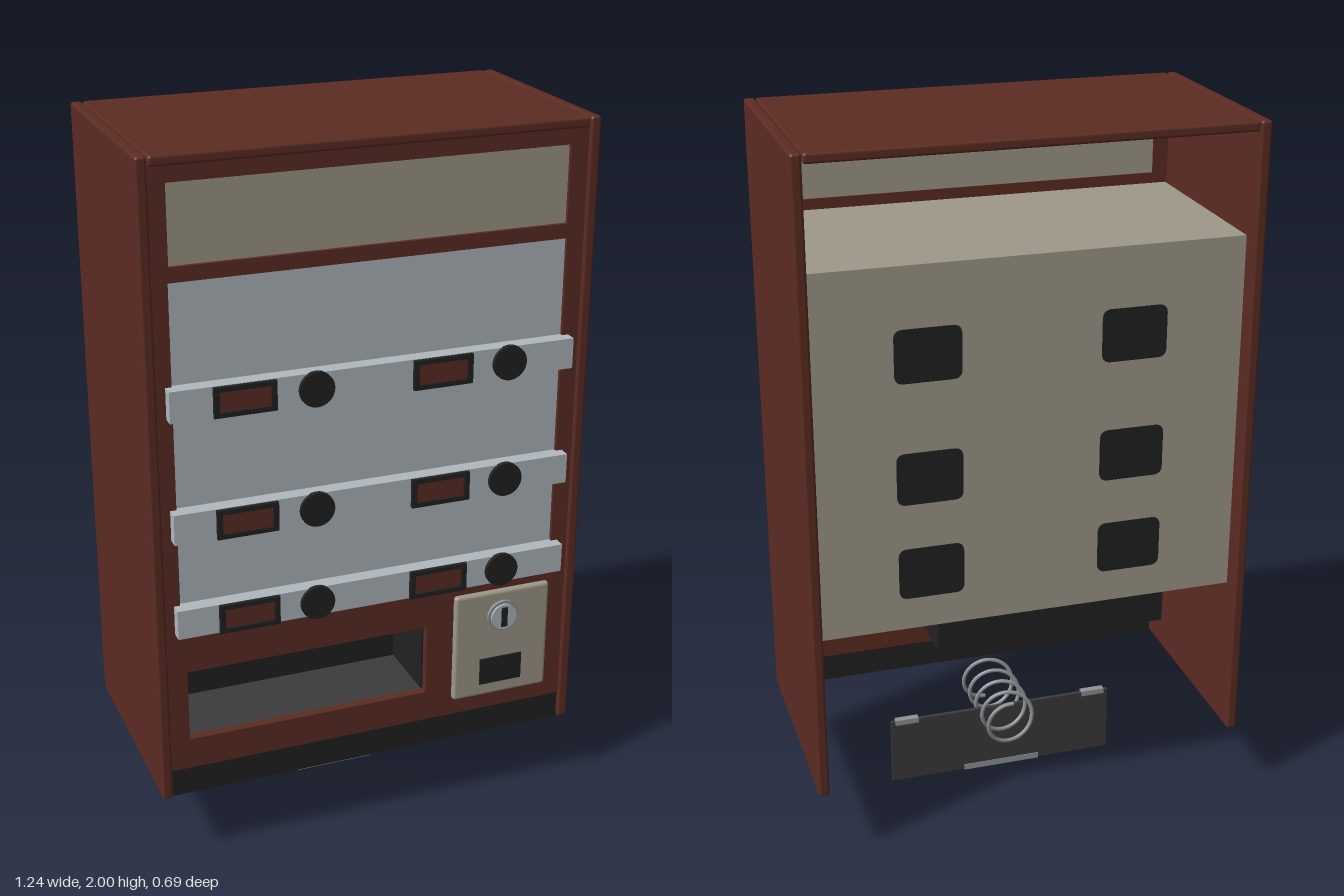
import * as THREE from 'three';
import { RoundedBoxGeometry } from 'three/addons/geometries/RoundedBoxGeometry.js';

const mat = (name, color) => {
  const m = new THREE.MeshStandardMaterial({ color });
  m.name = name;
  return m;
};

export function createModel() {
  const brown = mat('brown', 0x5c2c23);
  const beige = mat('beige', 0x9f9989);
  const glass = mat('pale blue grey', 0xb0b9be);
  const black = mat('black', 0x222222);
  const charcoal = mat('charcoal', 0x3b3b3b);
  const silver = mat('silver', 0x8f9396);

  const root = new THREE.Group();
  root.name = 'vendingMachine';

  const add = (name, geometry, material, parent = root) => {
    const m = new THREE.Mesh(geometry, material);
    m.name = name;
    parent.add(m);
    return m;
  };
  // Box given by its low and high limits on each axis
  const box = (name, material, [x0, x1], [y0, y1], [z0, z1], round = 0, parent = root) => {
    const s = [x1 - x0, y1 - y0, z1 - z0];
    const g = round ? new RoundedBoxGeometry(...s, 2, round) : new THREE.BoxGeometry(...s);
    g.translate((x0 + x1) / 2, (y0 + y1) / 2, (z0 + z1) / 2);
    return add(name, g, material, parent);
  };
  // Disc facing the front
  const disc = (name, material, x, y, r, z0, z1, parent = root) => {
    const g = new THREE.CylinderGeometry(r, r, z1 - z0, 32);
    g.rotateX(Math.PI / 2);
    g.translate(x, y, (z0 + z1) / 2);
    return add(name, g, material, parent);
  };
  const rect = (path, [x0, x1], [y0, y1]) =>
    path.moveTo(x0, y0).lineTo(x1, y0).lineTo(x1, y1).lineTo(x0, y1).closePath();

  // Open-backed cabinet shell
  for (const s of [-1, 1]) {
    const name = s > 0 ? 'leftSidePanel' : 'rightSidePanel';
    box(name, brown, [s * 0.605 - 0.015, s * 0.605 + 0.015], [0.21, 2], [-0.345, 0.31], 0.008);
  }
  box('topPanel', brown, [-0.588, 0.588], [1.972, 2], [-0.345, 0.31], 0.008);

  // Front frame with cut-outs for sign, display and delivery slot
  const signX = [-0.545, 0.54], signY = [1.72, 1.93];
  const glassX = [-0.548, 0.542], glassY = [0.71, 1.68];
  const slotX = [-0.535, 0.165], slotY = [0.38, 0.59];
  const frame = new THREE.Shape();
  rect(frame, [-0.592, 0.592], [0.29, 1.975]);
  for (const [hx, hy] of [[signX, signY], [glassX, glassY], [slotX, slotY]]) {
    const hole = new THREE.Path();
    rect(hole, hx, hy);
    frame.holes.push(hole);
  }
  const frameGeo = new THREE.ExtrudeGeometry(frame, { depth: 0.025, bevelEnabled: false });
  frameGeo.translate(0, 0, 0.275);
  add('frontFrame', frameGeo, brown);
  box('signPanel', beige, signX, signY, [0.278, 0.29]);
  box('displayWindow', glass, glassX, glassY, [0.278, 0.29]);
  box('kickPlate', black, [-0.588, 0.588], [0.21, 0.29], [0.275, 0.3]);

  // Storage compartment behind the window
  const compartment = new THREE.Group();
  compartment.name = 'storageCompartment';
  root.add(compartment);
  const part = (name, x, y, z) => box(name, beige, x, y, z, 0, compartment);
  part('compartmentBack', [-0.585, 0.585], [0.67, 1.69], [-0.3, -0.285]);
  part('compartmentTop', [-0.585, 0.585], [1.675, 1.69], [-0.285, 0.274]);
  part('compartmentFloor', [-0.57, 0.57], [0.69, 0.705], [-0.285, 0.02]);
  for (const s of [-1, 1])
    part('compartmentSide', [s * 0.5775 - 0.0075, s * 0.5775 + 0.0075], [0.67, 1.675], [-0.285, 0.274]);

  // Rounded motor covers on the back of the compartment
  const w = 0.09, h = 0.073, r = 0.025;
  const cover = new THREE.Shape();
  cover.moveTo(-w + r, -h).lineTo(w - r, -h).quadraticCurveTo(w, -h, w, -h + r);
  cover.lineTo(w, h - r).quadraticCurveTo(w, h, w - r, h);
  cover.lineTo(-w + r, h).quadraticCurveTo(-w, h, -w, h - r);
  cover.lineTo(-w, -h + r).quadraticCurveTo(-w, -h, -w + r, -h);
  const coverGeo = new THREE.ExtrudeGeometry(cover, { depth: 0.006, bevelEnabled: false });
  for (const y of [1.45, 1.11, 0.835])
    for (const x of [-0.28, 0.28])
      add('motorCover', coverGeo, black, compartment).position.set(x, y, -0.303);

  // Shelf rails, each with two price frames and two buttons
  for (const [y0, y1] of [[1.325, 1.41], [0.987, 1.072], [0.712, 0.795]]) {
    const rail = new THREE.Group();
    rail.name = 'shelfRail';
    root.add(rail);
    const c = (y0 + y1) / 2;
    box('railBar', glass, [-0.565, 0.56], [y0, y1], [0.285, 0.333], 0, rail);
    for (const x of [-0.368, 0.177]) {
      const f = new THREE.Shape();
      rect(f, [x - 0.084, x + 0.084], [c - 0.041, c + 0.041]);
      const hole = new THREE.Path();
      rect(hole, [x - 0.069, x + 0.069], [c - 0.028, c + 0.028]);
      f.holes.push(hole);
      const g = new THREE.ExtrudeGeometry(f, { depth: 0.012, bevelEnabled: false });
      g.translate(0, 0, 0.332);
      add('priceFrame', g, black, rail);
      box('priceCard', brown, [x - 0.069, x + 0.069], [c - 0.028, c + 0.028], [0.331, 0.337], 0, rail);
      disc('selectButton', black, x + 0.192, c, 0.048, 0.33, 0.344, rail);
    }
  }

  // Delivery bin: open-topped tray behind the slot
  box('binFloor', charcoal, slotX, [0.37, 0.38], [0.07, 0.275]);
  box('binBack', black, slotX, [0.37, 0.59], [0.06, 0.07]);
  for (const x of slotX) box('binSide', black, [x - 0.005, x + 0.005], [0.37, 0.59], [0.06, 0.275]);

  // Coin panel with lock and return cup
  box('coinPanel', beige, [0.245, 0.537], [0.34, 0.672], [0.29, 0.315], 0.01);
  disc('lockRing', silver, 0.39, 0.595, 0.047, 0.31, 0.324);
  disc('lockFace', glass, 0.39, 0.595, 0.039, 0.32, 0.33);
  box('lockSlot', black, [0.381, 0.399], [0.565, 0.625], [0.328, 0.333]);
  box('coinReturn', black, [0.325, 0.455], [0.38, 0.462], [0.312, 0.319]);

  // Hanging delivery flap with hinges and handle
  box('deliveryFlap', charcoal, [-0.338, 0.338], [0.003, 0.203], [-0.018, -0.006]);
  box('flapHandle', silver, [-0.118, 0.115], [0, 0.018], [-0.02, 0.002]);
  for (const s of [-1, 1])
    box('flapHinge', silver, [s * 0.29 - 0.035, s * 0.29 + 0.035], [0.193, 0.209], [-0.022, -0.002]);

  // Dispensing coil
  const pts = [];
  const turns = 4.5, n = 108;
  for (let i = 0; i <= n; i++) {
    const a = (i / n) * turns * Math.PI * 2 - Math.PI / 2;
    pts.push(new THREE.Vector3(0.072 * Math.cos(a), 0.212 + 0.072 * Math.sin(a), 0.155 - (0.3 * i) / n));
  }
  add('dispensingCoil', new THREE.TubeGeometry(new THREE.CatmullRomCurve3(pts), 216, 0.006, 8), silver);

  return root;
}
